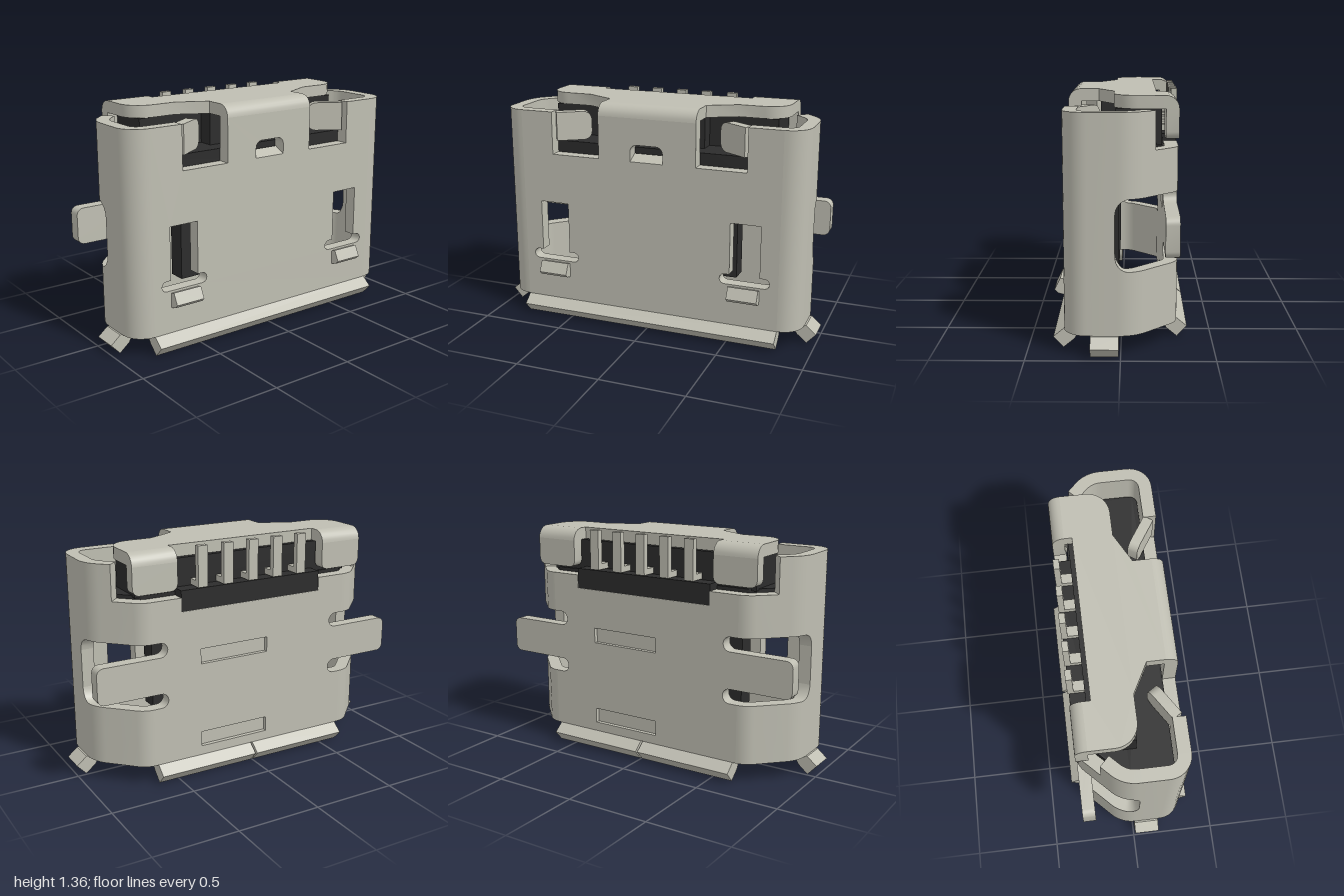
import * as THREE from 'three';
import { toCreasedNormals } from 'three/addons/utils/BufferGeometryUtils.js';

const D = Math.PI / 180;
const T = 0.075; // sheet thickness

export function createModel() {
  const root = new THREE.Group();
  const metal = new THREE.MeshStandardMaterial({ color: 0xbfbeb2 });
  metal.name = 'tinned metal';
  const plastic = new THREE.MeshStandardMaterial({ color: 0x2c2c2c });
  plastic.name = 'black plastic';

  const add = (name, geo, mat = metal) => {
    const m = new THREE.Mesh(geo, mat);
    m.name = name;
    root.add(m);
  };
  // Mirror across x = 0, keeping faces outward
  const mirror = (geo) => {
    const g = geo.clone();
    g.scale(-1, 1, 1);
    for (const att of Object.values(g.attributes)) {
      const n = att.itemSize, a = att.array;
      for (let i = 0; i < a.length; i += n * 3)
        for (let k = 0; k < n; k++) {
          const s = a[i + n + k];
          a[i + n + k] = a[i + 2 * n + k];
          a[i + 2 * n + k] = s;
        }
    }
    return g;
  };
  const pair = (name, geo) => {
    add(name + 'Left', geo);
    add(name + 'Right', mirror(geo));
  };
  const arc = (cx, cy, r, a0, a1, n = 8) => Array.from({ length: n + 1 }, (_, i) => {
    const a = (a0 + (a1 - a0) * i / n) * D;
    return [cx + r * Math.cos(a), cy + r * Math.sin(a)];
  });
  const flip = (pts) => pts.map(([x, y]) => [-x, y]);
  const sym = (pts) => [...pts, ...flip(pts).reverse()];
  const vec = (pts) => pts.map(([x, y]) => new THREE.Vector2(x, y));
  const slab = (pts, depth, holes = []) => {
    const s = new THREE.Shape(vec(pts));
    for (const h of holes) s.holes.push(new THREE.Path(vec(h)));
    return toCreasedNormals(new THREE.ExtrudeGeometry(s, { depth, bevelEnabled: false }), 35 * D);
  };
  // (z, y) section running along x from x0 to x1
  const prismX = (pts, x0, x1) => slab(pts, x1 - x0).rotateY(-Math.PI / 2).translate(x1, 0, 0);
  // (x, z) plan standing from y0 to y1
  const plan = (pts, y0, y1) => slab(pts, y1 - y0).rotateX(Math.PI / 2).translate(0, y1, 0);
  const box = (x0, x1, y0, y1, z0, z1) => new THREE.BoxGeometry(x1 - x0, y1 - y0, z1 - z0)
    .translate((x0 + x1) / 2, (y0 + y1) / 2, (z0 + z1) / 2);

  // Plan path of the shell's side, front corner to back corner, with normal angle
  const path = [];
  const turn = (cx, cz, r, a0, a1, n) => {
    for (let i = 0; i <= n; i++) {
      const a = (a0 + (a1 - a0) * i / n) * D;
      path.push({ x: cx + r * Math.cos(a), z: cz + r * Math.sin(a), a });
    }
  };
  turn(0.8, 0.175, 0.13, 90, 0, 10);
  for (const z of [0.03, 0.025]) path.push({ x: 0.93, z, a: 0 });
  turn(0.73, 0.012, 0.2, 0, -45, 12);
  path.push({ x: 0.82, z: -0.18, a: -45 * D });
  turn(0.641, -0.175, 0.13, -45, -90, 6);

  // Curved wall between two depths, with variable lower and upper edges
  const wall = (zFrom, zTo, lo, hi) => {
    const p = path.filter((q) => q.z <= zFrom + 1e-6 && q.z >= zTo - 1e-6);
    const pos = [], idx = [];
    p.forEach((q, i) => {
      const ix = q.x - T * Math.cos(q.a), iz = q.z - T * Math.sin(q.a);
      const l = lo(q.z), h = hi(q.z);
      pos.push(q.x, l, q.z, q.x, h, q.z, ix, h, iz, ix, l, iz);
      if (i === p.length - 1) return;
      for (let k = 0; k < 4; k++) {
        const a = i * 4 + k, d = i * 4 + (k + 1) % 4;
        idx.push(a, a + 4, d + 4, a, d + 4, d);
      }
    });
    const e = (p.length - 1) * 4;
    idx.push(0, 1, 2, 0, 2, 3, e, e + 2, e + 1, e, e + 3, e + 2);
    const g = new THREE.BufferGeometry();
    g.setAttribute('position', new THREE.Float32BufferAttribute(pos, 3));
    g.setIndex(idx);
    return toCreasedNormals(g, 35 * D);
  };
  const round = (z) => { // rounded window corner
    const r = 0.08, d = Math.min(r, 0.03 - z);
    return r - Math.sqrt(Math.max(0, r * r - (r - d) ** 2));
  };
  const bottom = () => 0.11, top = () => 1.285;
  pair('sideWallFront', wall(1, 0.03, bottom, top));
  pair('sideWallLower', wall(0.03, -1, bottom, (z) => 0.455 + round(z)));
  pair('sideWallUpper', wall(0.03, -0.18, (z) => 0.84 - round(z), top));
  pair('sideWallUpperBack', wall(-0.18, -1, () => 0.84, () => 1.08));

  // Front wall with latch slots and a keyhole
  const slot = [[0.51, 0.42], [0.51, 0.73], [0.69, 0.73], [0.69, 0.42],
    ...arc(0.72, 0.39, 0.03, 90, -90, 6), ...arc(0.48, 0.39, 0.03, 270, 90, 6)];
  const keyhole = sym([[0.1, 1.03], ...arc(0.06, 1.09, 0.04, 0, 90, 5)]);
  const front = sym([[0.8, 0.11], [0.8, 1.285], [0.6, 1.285], [0.6, 1.03], [0.3, 1.03], [0.3, 1.285]]);
  add('frontWall', slab(front, T, [slot, flip(slot), keyhole]).translate(0, 0, 0.23));
  add('keyholeLip', prismX([[0.235, 1.03], [0.304, 1.03], [0.235, 1.065]], -0.1, 0.1));
  pair('latchTongue', prismX([[0.27, 0.26], [0.305, 0.26], [0.345, 0.27], [0.365, 0.29],
    [0.332, 0.355], [0.3, 0.345], [0.25, 0.34]], 0.51, 0.69));

  // Flaps folded inward beside the front tab
  const flap = slab([[0, 1.11], [0, 1.28], ...arc(-0.16, 1.23, 0.05, 90, 180, 5),
    ...arc(-0.16, 1.16, 0.05, 180, 270, 5)], 0.06);
  pair('foldedFlap', flap.rotateY(-33 * D).translate(0.61, 0, 0.235));

  // Back wall with side wings and shallow recesses
  const back = sym([[0.641, 0.11], [0.641, 0.455], ...arc(0.592, 0.4975, 0.0425, 270, 90, 12),
    ...arc(0.935, 0.58, 0.04, 270, 360, 6), ...arc(0.935, 0.715, 0.04, 0, 90, 6),
    ...arc(0.592, 0.7975, 0.0425, 270, 90, 12), [0.641, 0.84], [0.641, 1.08], [0.46, 1.08], [0.46, 1.0]]);
  const recess = (y) => [[-0.1, y - 0.045], [0.34, y - 0.045], [0.34, y + 0.045], [-0.1, y + 0.045]];
  add('backWallWithWings', slab(back, T, [recess(0.72), recess(0.21)]).translate(0, 0, -0.305));
  for (const y of [0.72, 0.21]) add('backRecess', box(-0.1, 0.34, y - 0.045, y + 0.045, -0.28, -0.232));

  // Flared lips round the mouth
  const lip = [[0.235, 0.11], [0.305, 0.11], [0.365, 0.06], [0.31, 0.0], [0.25, 0.05], [0.235, 0.075]];
  add('frontLip', prismX(lip, -0.8, 0.8));
  pair('backLip', prismX(flip(lip), 0.006, 0.622));
  pair('sideLip', slab(lip.map(([x, y]) => [x + 0.635, y]), 0.15).translate(0, 0, 0.01));

  // Top plate, front bend and rear corner flaps
  add('topPlate', plan(sym([[0.3, 0.235], [0.3, 0.13], [0.47, 0.04], ...arc(0.62, -0.09, 0.13, 90, 0, 8),
    [0.75, -0.235], [0.48, -0.235], [0.48, -0.19]]), 1.285, 1.355));
  add('topPlateFrontBend', prismX([[0.235, 1.285], ...arc(0.235, 1.285, 0.07, 0, 90, 6)], -0.3, 0.3));
  const bend = [[-0.235, 1.285], ...arc(-0.235, 1.285, 0.07, 90, 180, 6)];
  pair('rearFlapBend', prismX(bend, 0.48, 0.75));
  pair('rearFlap', slab([[0.48, 1.285], ...arc(0.52, 1.165, 0.04, 180, 270, 5),
    ...arc(0.71, 1.165, 0.04, 270, 360, 5), [0.75, 1.285]], 0.07).translate(0, 0, -0.305));

  // Plastic insert: plug, upper block, rear shelf and contact tongue
  const inner = path.map((q) => [q.x - 0.08 * Math.cos(q.a), q.z - 0.08 * Math.sin(q.a)]);
  add('insertPlug', plan(sym(inner), 0.92, 1.1), plastic);
  add('insertBlock', box(-0.7, 0.7, 1.09, 1.283, -0.215, 0.03), plastic);
  add('insertCentre', box(-0.29, 0.29, 1.09, 1.283, 0.02, 0.12), plastic);
  add('insertShelf', box(-0.459, 0.459, 1.0, 1.12, -0.302, -0.2), plastic);
  add('contactTongue', box(-0.5, 0.5, 0.33, 0.95, 0.015, 0.12), plastic);

  // Contact pins
  const pin = [[-0.19, 1.125], [-0.19, 1.16], [-0.275, 1.16], [-0.275, 1.36], [-0.31, 1.36], [-0.31, 1.125]];
  for (let i = -2; i <= 2; i++) add('contactPin', prismX(pin, i * 0.163 - 0.03, i * 0.163 + 0.03));

  return root;
}
